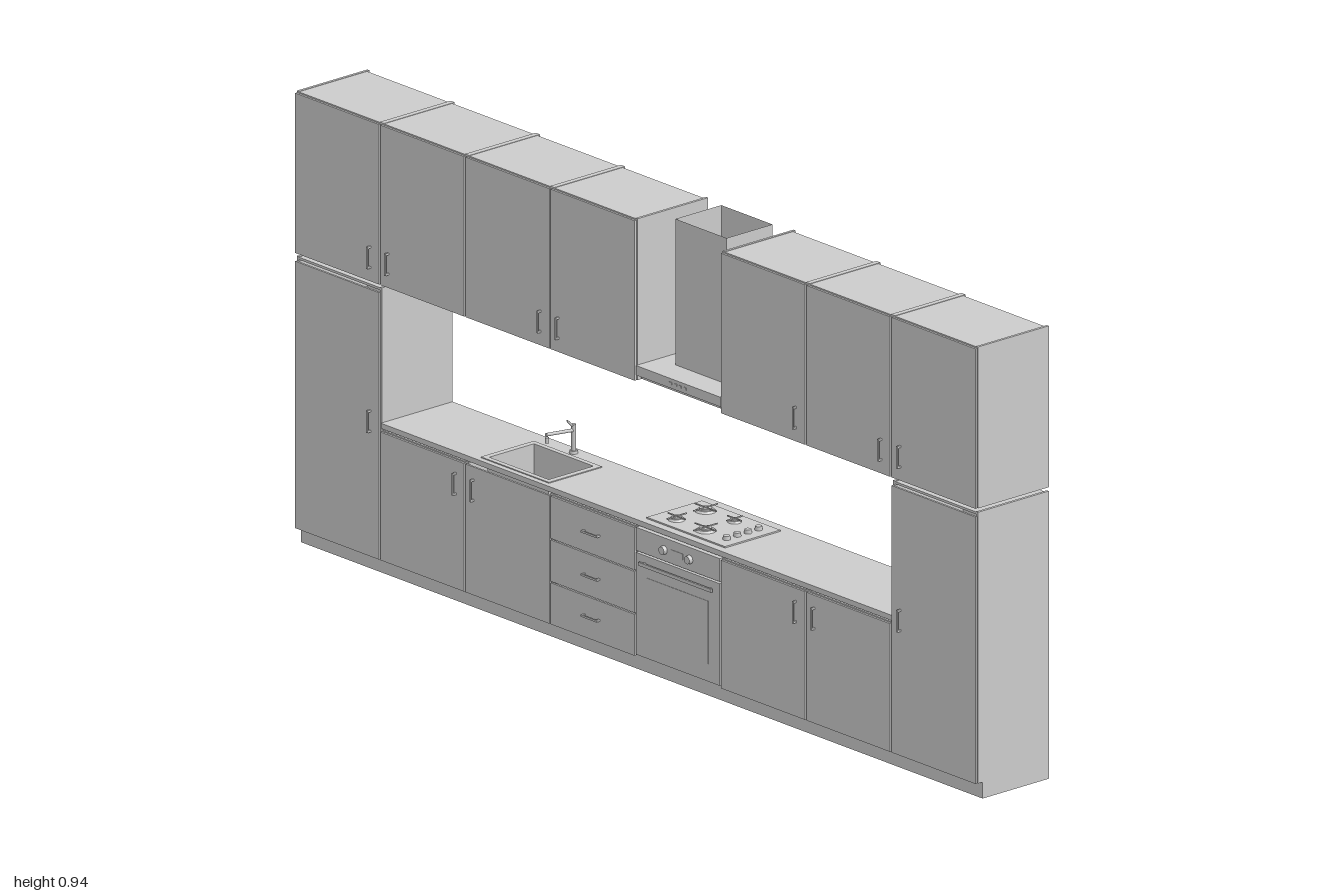
import * as THREE from 'three';

const grey = new THREE.MeshStandardMaterial({ color: 0xcccccc });
const thin = new THREE.MeshStandardMaterial({ color: 0xcccccc, side: THREE.DoubleSide });
const W = 0.25, BACK = -0.1, FRONT = 0.085, T = 0.006, TOE = 0.034;

// Box given by its minimum and maximum corners
function box(parent, name, x0, x1, y0, y1, z0, z1) {
  const m = new THREE.Mesh(new THREE.BoxGeometry(x1 - x0, y1 - y0, z1 - z0), grey);
  m.position.set((x0 + x1) / 2, (y0 + y1) / 2, (z0 + z1) / 2);
  m.name = name;
  parent.add(m);
  return m;
}

function cyl(parent, name, r0, r1, h, x, y, z, n = 20) {
  const m = new THREE.Mesh(new THREE.CylinderGeometry(r0, r1, h, n), grey);
  m.position.set(x, y, z);
  m.name = name;
  parent.add(m);
  return m;
}

// Extruded plan: rectangle with a rectangular opening, laid flat from y0 up
function frame(parent, name, [x0, x1, z0, z1], [a0, a1, b0, b1], y0, h) {
  const s = new THREE.Shape([[x0, -z1], [x1, -z1], [x1, -z0], [x0, -z0]].map(p => new THREE.Vector2(...p)));
  s.holes.push(new THREE.Path([[a0, -b1], [a0, -b0], [a1, -b0], [a1, -b1]].map(p => new THREE.Vector2(...p))));
  const m = new THREE.Mesh(new THREE.ExtrudeGeometry(s, { depth: h, bevelEnabled: false }), grey);
  m.rotation.x = -Math.PI / 2;
  m.position.y = y0;
  m.name = name;
  parent.add(m);
}

// Bow handle, upright or lying
function handle(parent, x, y, lying = false) {
  const g = new THREE.Group();
  g.name = 'handle';
  const r = 0.002, L = 0.021;
  box(g, 'handleBar', -r, r, -L, L, 0.0075, 0.01);
  for (const s of [-1, 1]) box(g, 'handlePost', -r, r, s * L - r, s * L + r, 0, 0.01);
  g.position.set(x, y, 0.09);
  if (lying) g.rotation.z = Math.PI / 2;
  parent.add(g);
}

// Open-backed carcass with inset back; base units have side panels with a toe notch
function cabinet(parent, name, x0, y0, y1, { base = false, back = true, top = true } = {}) {
  const g = new THREE.Group();
  g.name = name;
  const x1 = x0 + W, floor = base ? TOE : y0;
  for (const x of [x0, x1 - T]) {
    box(g, 'sidePanel', x, x + T, floor, y1, BACK, FRONT);
    if (base) box(g, 'sideFoot', x, x + T, 0, TOE, BACK, 0.072);
  }
  box(g, 'bottomPanel', x0 + T, x1 - T, floor, floor + T, BACK + 0.006, FRONT);
  if (top) box(g, 'topPanel', x0 + T, x1 - T, y1 - T, y1 - 0.001, BACK + 0.006, FRONT);
  if (back) box(g, 'backPanel', x0 + T, x1 - T, floor + T, y1 - 0.008, BACK + 0.003, BACK + 0.007);
  parent.add(g);
  return g;
}

function door(parent, x0, y0, y1, name = 'door') {
  box(parent, name, x0 + 0.002, x0 + W - 0.002, y0, y1, 0.0865, 0.091);
}

export function createModel() {
  const kitchen = new THREE.Group();
  kitchen.name = 'fittedKitchen';

  // Tall end cabinets
  for (const [x, hx] of [[-1, -0.778], [0.75, 0.778]]) {
    const low = cabinet(kitchen, 'tallCabinet', x, 0, 0.597, { base: true });
    door(low, x, TOE, 0.588);
    handle(low, hx, 0.315);
  }

  // Wall cabinets, leaving the hood bay free
  const wall = [[-1, -0.778], [-0.75, -0.725], [-0.5, -0.278], [-0.25, -0.225],
    [0.25, 0.472], [0.5, 0.722], [0.75, 0.778]];
  for (const [x, hx] of wall) {
    const c = cabinet(kitchen, 'wallCabinet', x, 0.605, 0.94);
    door(c, x, 0.605, 0.937);
    handle(c, hx, 0.655);
  }

  // Base cabinets with doors; the sink unit has no top panel
  for (const [x, hx] of [[-0.75, -0.527], [-0.5, -0.475], [0.25, 0.472], [0.5, 0.525]]) {
    const c = cabinet(kitchen, 'baseCabinet', x, 0, 0.303, { base: true, top: x !== -0.5 });
    door(c, x, TOE, 0.3);
    handle(c, hx, 0.252);
  }

  // Drawer unit
  const drawers = cabinet(kitchen, 'drawerCabinet', -0.25, 0, 0.303, { base: true, back: false });
  [[0.034, 0.12, 0.08], [0.123, 0.209, 0.165], [0.212, 0.3, 0.255]].forEach(([y0, y1, hy]) => {
    door(drawers, -0.25, y0, y1, 'drawerFront');
    box(drawers, 'drawerBox', -0.242, -0.008, y0 + 0.008, y1 - 0.003, BACK + 0.005, FRONT);
    handle(drawers, -0.127, hy, true);
  });

  // Plinth
  box(kitchen, 'plinth', -1, 1, 0, TOE, 0.068, 0.0735);

  // Worktop with the sink opening
  const hole = [-0.46, -0.28, -0.055, 0.068];
  frame(kitchen, 'worktop', [-0.75, 0.75, BACK, 0.088], hole, 0.306, 0.011);

  // Sink: rim, basin walls, bottom and drain
  const sink = new THREE.Group();
  sink.name = 'sink';
  kitchen.add(sink);
  const [a0, a1, b0, b1] = hole, sy = 0.235;
  frame(sink, 'sinkRim', [a0 - 0.01, a1 + 0.01, b0 - 0.008, b1 + 0.008], [a0 + 0.003, a1 - 0.003, b0 + 0.003, b1 - 0.003], 0.317, 0.002);
  frame(sink, 'basinWalls', hole, [a0 + 0.003, a1 - 0.003, b0 + 0.003, b1 - 0.003], sy, 0.082);
  box(sink, 'basinBottom', a0, a1, sy - 0.003, sy, b0, b1);
  cyl(sink, 'drain', 0.012, 0.012, 0.002, -0.37, sy + 0.001, 0);

  // Faucet
  const faucet = new THREE.Group();
  faucet.name = 'faucet';
  kitchen.add(faucet);
  cyl(faucet, 'faucetFoot', 0.008, 0.009, 0.006, -0.37, 0.32, -0.078);
  cyl(faucet, 'faucetColumn', 0.005, 0.005, 0.058, -0.37, 0.348, -0.078);
  const spout = cyl(faucet, 'spout', 0.0035, 0.0035, 0.075, -0.37, 0.368, -0.043, 12);
  spout.rotation.x = Math.PI / 2 - 0.1;
  cyl(faucet, 'spoutTip', 0.004, 0.004, 0.012, -0.37, 0.36, -0.008, 12);
  const lever = cyl(faucet, 'lever', 0.002, 0.003, 0.026, -0.37, 0.379, -0.07, 8);
  lever.rotation.x = 0.8;

  // Hob with four burners and a row of knobs
  const hob = new THREE.Group();
  hob.name = 'hob';
  kitchen.add(hob);
  box(hob, 'hobPlate', 0.01, 0.24, 0.317, 0.32, -0.075, 0.07);
  [[0.06, 0.036, 0.017], [0.06, -0.04, 0.021], [0.145, 0.036, 0.021], [0.145, -0.04, 0.014]].forEach(([x, z, r]) => {
    cyl(hob, 'burner', r * 0.8, r, 0.004, x, 0.322, z);
    cyl(hob, 'burnerCap', r * 0.6, r * 0.6, 0.003, x, 0.3255, z);
    for (let i = 0; i < 2; i++) {
      const bar = box(hob, 'panSupport', -r * 1.5, r * 1.5, 0.326, 0.3285, -0.0012, 0.0012);
      bar.position.x = x;
      bar.position.z = z;
      bar.rotation.y = i * Math.PI / 2;
    }
  });
  for (let i = 0; i < 4; i++) cyl(hob, 'hobKnob', 0.007, 0.008, 0.008, 0.21, 0.324, -0.045 + i * 0.028, 16);

  // Built-in oven
  const oven = new THREE.Group();
  oven.name = 'oven';
  kitchen.add(oven);
  box(oven, 'ovenBody', 0.008, 0.242, TOE + 0.004, 0.215, -0.08, FRONT);
  box(oven, 'controlPanel', 0.002, 0.248, 0.254, 0.302, 0.07, 0.091);
  box(oven, 'ovenDoor', 0.002, 0.248, 0.038, 0.25, FRONT - 0.004, 0.091);
  box(oven, 'ovenWindow', 0.035, 0.215, 0.075, 0.205, 0.09, 0.0918);
  box(oven, 'ovenHandle', 0.018, 0.232, 0.229, 0.236, 0.096, 0.1);
  for (const x of [0.026, 0.22]) box(oven, 'handlePost', x, x + 0.005, 0.23, 0.235, 0.09, 0.098);
  for (const x of [0.085, 0.16]) {
    const k = cyl(oven, 'ovenKnob', 0.008, 0.009, 0.008, x, 0.277, 0.095, 18);
    k.rotation.x = Math.PI / 2;
  }
  box(oven, 'display', 0.105, 0.14, 0.271, 0.283, 0.09, 0.092);

  // Extractor hood with open chimney
  const hood = new THREE.Group();
  hood.name = 'extractorHood';
  kitchen.add(hood);
  box(hood, 'hoodCanopy', 0.001, 0.249, 0.617, 0.637, BACK, 0.09);
  box(hood, 'hoodFilter', 0.008, 0.242, 0.61, 0.617, BACK + 0.006, 0.083);
  for (let i = 0; i < 4; i++) box(hood, 'hoodButton', 0.1 + i * 0.014, 0.107 + i * 0.014, 0.625, 0.63, 0.089, 0.0915);
  const pts = [[0.05, -0.09], [0.2, -0.09], [0.2, 0.03], [0.05, 0.03]];
  const geo = new THREE.BufferGeometry(), pos = [];
  pts.forEach(([x, z], i) => {
    const [u, w] = pts[(i + 1) % 4], lo = 0.637, hi = 0.94;
    pos.push(x, lo, z, x, hi, z, u, hi, w, x, lo, z, u, hi, w, u, lo, w);
  });
  geo.setAttribute('position', new THREE.Float32BufferAttribute(pos, 3));
  geo.computeVertexNormals();
  const chimney = new THREE.Mesh(geo, thin);
  chimney.name = 'chimney';
  hood.add(chimney);

  return kitchen;
}
